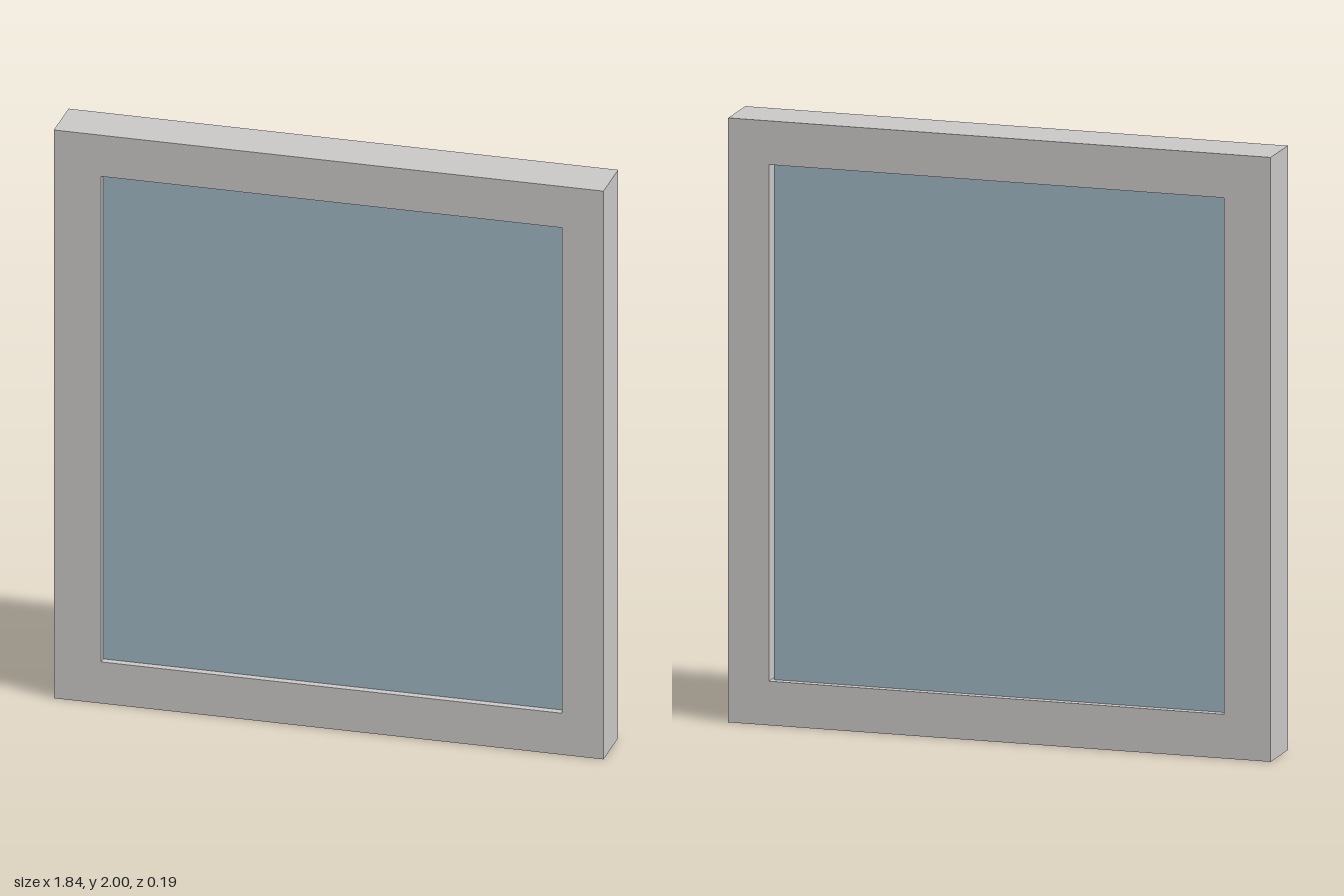
import * as THREE from 'three';

const WIDTH = 1.84, HEIGHT = 2, DEPTH = 0.178;
// opening in the frame (one jamb is a little narrower than the other)
const LEFT = -0.762, RIGHT = 0.782, BOTTOM = 0.146, TOP = 1.855;

function rectangle(target, x0, y0, x1, y1) {
  target.moveTo(x0, y0);
  target.lineTo(x1, y0);
  target.lineTo(x1, y1);
  target.lineTo(x0, y1);
  target.closePath();
  return target;
}

export function createModel() {
  const frameMaterial = new THREE.MeshStandardMaterial({ color: 0xc9c7c5 });
  frameMaterial.name = 'pale grey frame';
  const glassMaterial = new THREE.MeshStandardMaterial({ color: 0x9db5bf });
  glassMaterial.name = 'blue grey glass';

  const model = new THREE.Group();
  model.name = 'window';

  // one-piece frame with a rectangular opening
  const shape = rectangle(new THREE.Shape(), -WIDTH / 2, 0, WIDTH / 2, HEIGHT);
  shape.holes.push(rectangle(new THREE.Path(), LEFT, BOTTOM, RIGHT, TOP));
  const frameGeometry = new THREE.ExtrudeGeometry(shape, { depth: DEPTH, bevelEnabled: false });
  frameGeometry.translate(0, 0, -DEPTH / 2);
  const frame = new THREE.Mesh(frameGeometry, frameMaterial);
  frame.name = 'frame';
  model.add(frame);

  // thick pane, recessed on both faces, with a narrow gap at one jamb
  const paneRight = RIGHT - 0.008;
  const pane = new THREE.Mesh(
    new THREE.BoxGeometry(paneRight - LEFT, TOP - BOTTOM, 0.126), glassMaterial);
  pane.name = 'glassPane';
  pane.position.set((LEFT + paneRight) / 2, (BOTTOM + TOP) / 2, 0);
  model.add(pane);

  // the whole window stands very slightly turned
  model.rotation.y = -0.0082;
  const root = new THREE.Group();
  root.name = 'framedWindow';
  root.add(model);
  return root;
}
